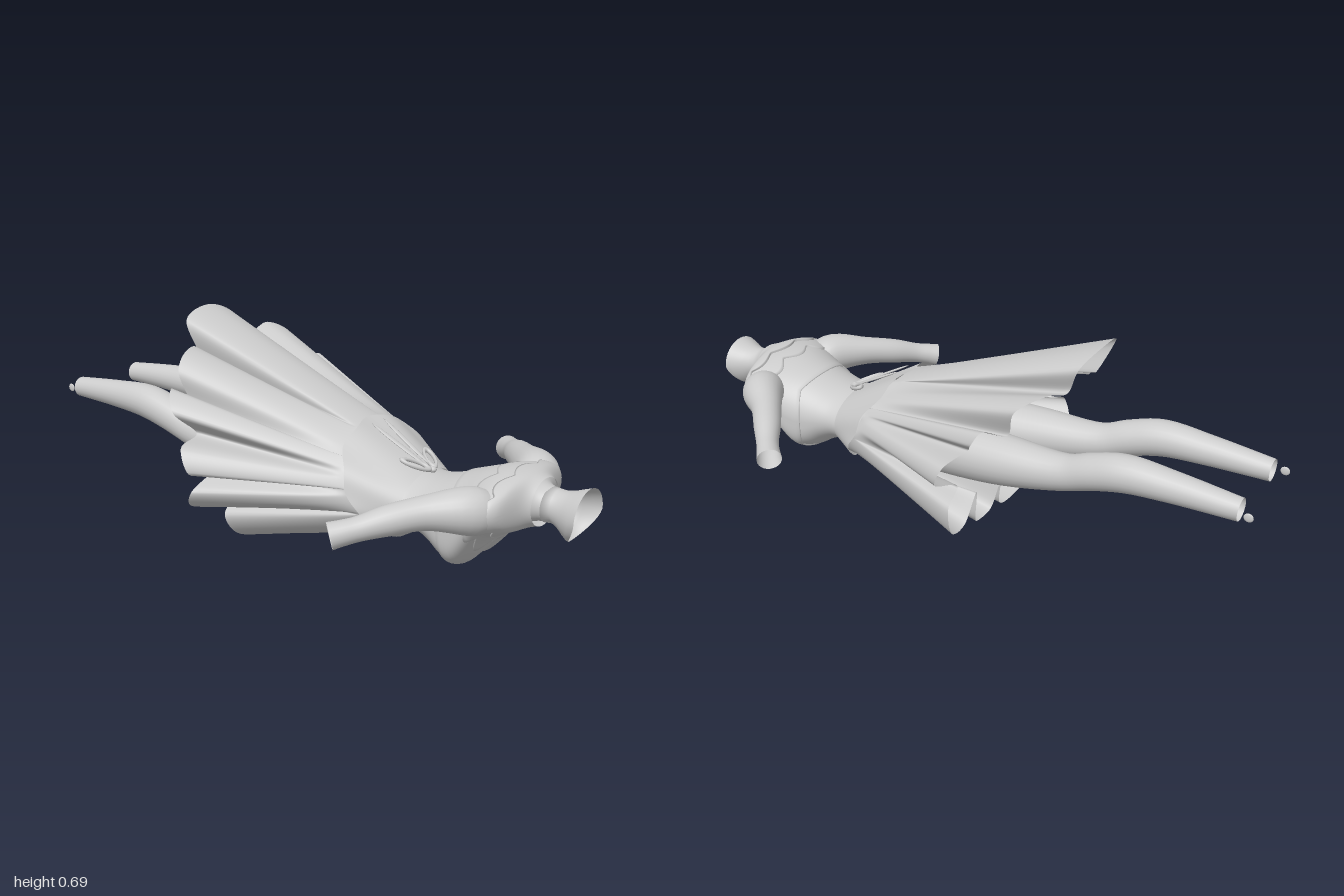
import * as THREE from 'three';

const material = new THREE.MeshStandardMaterial({ color: 0xcccccc, side: THREE.DoubleSide });
const V = (x, y, z) => new THREE.Vector3(x, y, z);
const TAU = Math.PI * 2;

// Smooth skin over a list of closed rings with equal point counts
function loft(name, rings, capEnd = false) {
  const n = rings[0].length, index = [];
  const points = rings.flat();
  for (let i = 0; i < rings.length - 1; i++) {
    for (let j = 0; j < n; j++) {
      const a = i * n + j, b = i * n + (j + 1) % n;
      index.push(a, b, a + n, b, b + n, a + n);
    }
  }
  if (capEnd) {
    const last = rings[rings.length - 1], base = (rings.length - 1) * n;
    points.push(last.reduce((s, p) => s.add(p), V(0, 0, 0)).divideScalar(n));
    last.forEach((p, j) => index.push(base + j, base + (j + 1) % n, points.length - 1));
    last.forEach((p, j) => { if (j === 0) p.sub(points[points.length - 1]); });
  }
  const g = new THREE.BufferGeometry().setFromPoints(points);
  g.setIndex(index);
  g.computeVertexNormals();
  const mesh = new THREE.Mesh(g, material);
  mesh.name = name;
  return mesh;
}

// Ring of points made by a rule from an angle; angle 0 is the upper back
const ring = (n, rule) => Array.from({ length: n }, (_, j) => rule(j / n * TAU));

// Round limb along a curve; each row is x, y, z, radius
function limb(name, rows, side) {
  const curve = new THREE.CatmullRomCurve3(rows.map(r => V(r[0] * side, r[1], r[2])));
  const radii = new THREE.CatmullRomCurve3(rows.map((r, i) => V(i, r[3], 0)));
  const rings = [];
  for (let i = 0; i <= 32; i++) {
    const t = i / 32, c = curve.getPoint(t), r = radii.getPoint(t).y;
    const d = curve.getTangent(t);
    const right = V(0, 1, 0).cross(d).normalize(), up = d.clone().cross(right);
    rings.push(ring(24, a => c.clone()
      .addScaledVector(right, r * Math.cos(a)).addScaledVector(up, r * Math.sin(a))));
  }
  return loft(name, rings);
}

// Torso sections: z, half width, top y, bottom y
const sections = [
  [0.90, 0.052, 0.362, 0.262], [0.87, 0.06, 0.368, 0.262], [0.845, 0.09, 0.376, 0.257],
  [0.82, 0.168, 0.384, 0.248], [0.79, 0.203, 0.387, 0.233], [0.75, 0.198, 0.387, 0.2],
  [0.70, 0.18, 0.377, 0.135], [0.65, 0.168, 0.36, 0.088], [0.60, 0.157, 0.342, 0.09],
  [0.55, 0.146, 0.325, 0.118], [0.50, 0.139, 0.315, 0.137], [0.45, 0.148, 0.318, 0.135],
  [0.38, 0.18, 0.35, 0.125], [0.28, 0.19, 0.38, 0.14], [0.16, 0.17, 0.36, 0.16]];

// Point on the torso at depth z, sections joined by a smooth cubic
function torsoPoint(z, angle, offset = 0) {
  let i = 0;
  while (i < sections.length - 2 && sections[i + 1][0] > z) i++;
  const t = (sections[i][0] - z) / (sections[i][0] - sections[i + 1][0]);
  const row = k => sections[THREE.MathUtils.clamp(k, 0, sections.length - 1)];
  const [w, top, bottom] = [1, 2, 3].map(k => {
    const [p0, p1, p2, p3] = [-1, 0, 1, 2].map(d => row(i + d)[k]);
    const m1 = (p2 - p0) / 2, m2 = (p3 - p1) / 2;
    return p1 + t * (m1 + t * (3 * (p2 - p1) - 2 * m1 - m2 + t * (2 * (p1 - p2) + m1 + m2)));
  });
  // Fuller, squarer chest with a shallow cleft in the middle
  const c = Math.cos(angle), s = Math.sin(angle);
  const chest = c < 0 ? Math.exp(-(((z - 0.65) / 0.085) ** 2)) : 0;
  const x = (w + offset) * Math.sign(s) * Math.pow(Math.abs(s), 1 - 0.15 * chest);
  const rise = c < 0 ? -Math.pow(-c, 1 - 0.4 * chest) : c;
  const cleft = 0.025 * chest * Math.exp(-((x / 0.03) ** 2));
  return V(x, (top + bottom) / 2 + ((top - bottom) / 2 + offset) * rise + cleft, z);
}

// Raised layer over the torso from z0 to a scalloped edge near z1, with a turned-in lip
function torsoLayer(name, z0, z1, offset, lobes, depth) {
  const rings = [];
  for (let i = 0; i <= 17; i++) {
    rings.push(ring(144, a => {
      const edge = z1 - depth * Math.abs(Math.cos(a * lobes / 2));
      return torsoPoint(z0 + (edge - z0) * Math.min(i / 16, 1), a, i > 16 ? 0 : offset);
    }));
  }
  return loft(name, rings);
}

// Top edge of the pleated skirt, slanting backwards across the hips
const hipPoint = (a, grow = 0) => V((0.212 + grow) * Math.sin(a),
  0.272 + (0.162 + grow) * Math.cos(a), 0.325 - 0.085 * Math.cos(a));

// Hem of the skirt: outer folds and the valleys between them
const hem = [
  [-0.1, 0.665, -0.44], [0.04, 0.695, -0.46], [0.125, 0.65, -0.43], [0.11, 0.56, -0.39],
  [0.25, 0.605, -0.39], [0.305, 0.56, -0.32], [0.275, 0.46, -0.28],
  [0.355, 0.495, -0.24], [0.368, 0.45, -0.21], [0.32, 0.4, -0.17],
  [0.425, 0.385, -0.15], [0.425, 0.32, -0.12], [0.28, 0.24, -0.11],
  [0.365, 0.21, -0.13], [0.35, 0.115, -0.13], [0.24, 0.083, -0.11], [0.17, 0.165, -0.11],
  [0.16, 0.06, -0.1], [0.11, 0.02, -0.08], [0.03, 0.025, -0.08], [0, 0.125, -0.1],
  [-0.025, 0.02, -0.08], [-0.07, 0.003, -0.08], [-0.25, 0.045, -0.09], [-0.295, 0.12, -0.1],
  [-0.215, 0.175, -0.12], [-0.32, 0.15, -0.14], [-0.42, 0.185, -0.13], [-0.44, 0.24, -0.1],
  [-0.34, 0.285, -0.1], [-0.47, 0.31, -0.08], [-0.46, 0.38, -0.12], [-0.34, 0.39, -0.17],
  [-0.41, 0.465, -0.2], [-0.355, 0.52, -0.26], [-0.255, 0.45, -0.28],
  [-0.262, 0.54, -0.32], [-0.215, 0.585, -0.345], [-0.12, 0.59, -0.38], [-0.09, 0.545, -0.38]];

function createSkirt() {
  const skirt = new THREE.Group();
  skirt.name = 'skirt';
  // Fitted yoke from the waist to the hips
  const yoke = [];
  for (let i = 0; i <= 12; i++) {
    const t = i / 12;
    yoke.push(ring(96, a => {
      const p = torsoPoint(0.47, a, 0.004).lerp(hipPoint(a, 0.009), t);
      p.z += 0.007 * t * (1 - Math.cos(a * 8));
      return p;
    }));
  }
  skirt.add(loft('skirtYoke', yoke));
  // Pleats deepening evenly towards the hem, starting just under the yoke
  const curve = new THREE.CatmullRomCurve3(hem.map(p => V(...p)), true, 'centripetal');
  const edge = Array.from({ length: 320 }, (_, j) => curve.getPoint(j / 320));
  const rings = [];
  for (let i = -1; i <= 24; i++) {
    rings.push(edge.map(p => hipPoint(Math.atan2(p.x, p.y - 0.27)).lerp(p, i / 24)));
  }
  skirt.add(loft('pleatedSkirt', rings));
  return skirt;
}

function ellipsoid(name, p, r) {
  const mesh = new THREE.Mesh(new THREE.SphereGeometry(1, 16, 8), material);
  mesh.name = name;
  mesh.position.set(...p);
  mesh.scale.set(...r);
  return mesh;
}

// Ribbon bow lying on the back of the waist
function createBow() {
  const bow = new THREE.Group();
  bow.name = 'bow';
  bow.add(ellipsoid('bowKnot', [0, 0.325, 0.485], [0.012, 0.01, 0.014]));
  for (const s of [-1, 1]) {
    const loop = new THREE.Mesh(new THREE.TorusGeometry(0.026, 0.007, 8, 28), material);
    loop.name = 'bowLoop';
    loop.scale.set(0.6, 1.6, 1);
    loop.rotation.set(-Math.PI / 2 + 0.4, 0, s * -0.6);
    loop.position.set(s * 0.038, 0.343, 0.45);
    bow.add(loop);
    const tail = ellipsoid('bowTail', [s * 0.02, 0.385, 0.375], [0.01, 0.004, 0.11]);
    tail.rotation.set(0.49, s * -0.1, 0);
    bow.add(tail);
  }
  return bow;
}

export function createModel() {
  const model = new THREE.Group();
  model.name = 'figure';

  // Torso and layered scalloped collar
  const body = [];
  for (let i = 0; i <= 74; i++) body.push(ring(72, a => torsoPoint(0.9 - i * 0.01, a)));
  model.add(loft('torso', body));
  model.add(torsoLayer('lowerCollar', 0.85, 0.745, 0.01, 10, 0.03));
  model.add(torsoLayer('upperCollar', 0.865, 0.8, 0.017, 10, 0.022));
  model.add(torsoLayer('bodiceTop', 0.82, 0.63, 0.005, 4, 0.02));

  // Neck and open, flared lower head; rows: z, half width, top y, bottom y, forward cut
  const head = [[1, 0.088, 0.386, 0.222, 0.045], [0.975, 0.08, 0.377, 0.224, 0.025],
    [0.95, 0.066, 0.367, 0.235, 0.012], [0.925, 0.055, 0.362, 0.25, 0],
    [0.905, 0.052, 0.363, 0.262, 0], [0.88, 0.058, 0.365, 0.26, 0],
    [0.88, 0.001, 0.315, 0.313, 0]];
  model.add(loft('neckAndJaw', head.map(([z, w, top, bottom, cut]) => ring(40, a => {
    const c = Math.cos(a), low = Math.max(0, -c);
    return V(w * Math.sin(a) * (1 - cut * 4 * low),
      (top + bottom) / 2 + (top - bottom) / 2 * c, z - cut * low ** 1.5);
  }))));

  // Mirrored arms, legs and toe tips
  for (const s of [-1, 1]) {
    const side = s > 0 ? 'left' : 'right';
    model.add(limb(side + 'Arm', [[0.12, 0.29, 0.765, 0.055], [0.19, 0.314, 0.735, 0.07],
      [0.28, 0.313, 0.645, 0.05], [0.36, 0.297, 0.575, 0.044], [0.42, 0.28, 0.525, 0.036],
      [0.455, 0.27, 0.493, 0.037], [0.48, 0.262, 0.468, 0.04]], s));
    model.add(limb(side + 'Leg', [[0.09, 0.26, 0.27, 0.095], [0.1, 0.265, 0, 0.093],
      [0.113, 0.277, -0.2, 0.08], [0.12, 0.3, -0.4, 0.058], [0.127, 0.335, -0.5, 0.058],
      [0.132, 0.36, -0.6, 0.058], [0.132, 0.36, -0.75, 0.048], [0.132, 0.35, -0.955, 0.035]], s));
    model.add(ellipsoid(side + 'ToeTip', [s * 0.155, 0.345, -0.985], [0.004, 0.014, 0.015]));
  }

  model.add(createSkirt(), createBow());
  return model;
}
